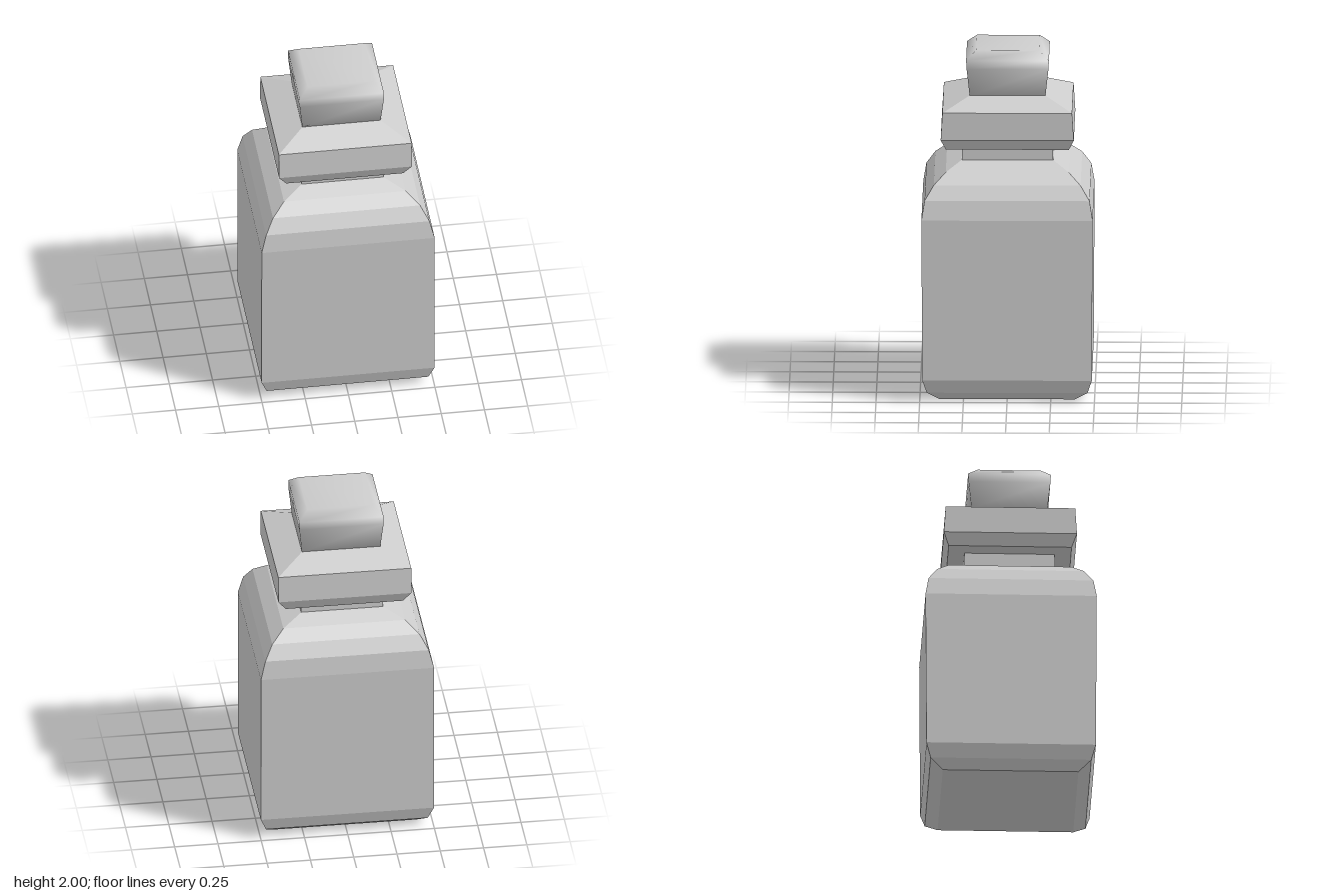
import * as THREE from 'three';

// Stack square-ish rings [y, halfWidth, halfDepth] from bottom to top and cap both ends.
function loft(name, rings, smooth) {
  const corners = [[1, 1], [1, -1], [-1, -1], [-1, 1]];
  const positions = [], index = [];
  for (const [y, w, d] of rings) {
    for (const [sx, sz] of corners) positions.push(sx * w, y, sz * d);
  }
  for (let r = 0; r < rings.length - 1; r++) {
    for (let c = 0; c < 4; c++) {
      const a = r * 4 + c, b = r * 4 + (c + 1) % 4;
      index.push(a, b, b + 4, a, b + 4, a + 4);
    }
  }
  const t = (rings.length - 1) * 4;
  index.push(0, 2, 1, 0, 3, 2, t, t + 1, t + 2, t, t + 2, t + 3);

  let geometry = new THREE.BufferGeometry();
  geometry.setAttribute('position', new THREE.Float32BufferAttribute(positions, 3));
  geometry.setIndex(index);
  if (!smooth) geometry = geometry.toNonIndexed();
  geometry.computeVertexNormals();
  const mesh = new THREE.Mesh(geometry,
    new THREE.MeshStandardMaterial({ color: 0xcccccc, flatShading: !smooth }));
  mesh.name = name;
  return mesh;
}

export function createModel() {
  const group = new THREE.Group();
  group.name = 'squareBottle';

  // Square body with a bevelled foot and rounded shoulders
  group.add(loft('body', [
    [0, 0.41, 0.388], [0.05, 0.467, 0.46], [0.13, 0.5, 0.485],
    [1.07, 0.5, 0.49], [1.18, 0.472, 0.472], [1.26, 0.425, 0.42],
    [1.32, 0.352, 0.352], [1.365, 0.237, 0.263],
  ]));

  // Narrow neck
  group.add(loft('neck', [[1.36, 0.237, 0.262], [1.455, 0.237, 0.258]]));

  // Wide collar, bevelled below and sloping up to the stopper
  group.add(loft('collar', [
    [1.45, 0.338, 0.352], [1.515, 0.384, 0.381],
    [1.675, 0.384, 0.371], [1.742, 0.226, 0.217],
  ]));

  // Soft flared stopper
  group.add(loft('stopper', [
    [1.74, 0.226, 0.217], [1.9, 0.243, 0.234],
    [1.95, 0.243, 0.237], [2, 0.19, 0.18],
  ], true));

  return group;
}
